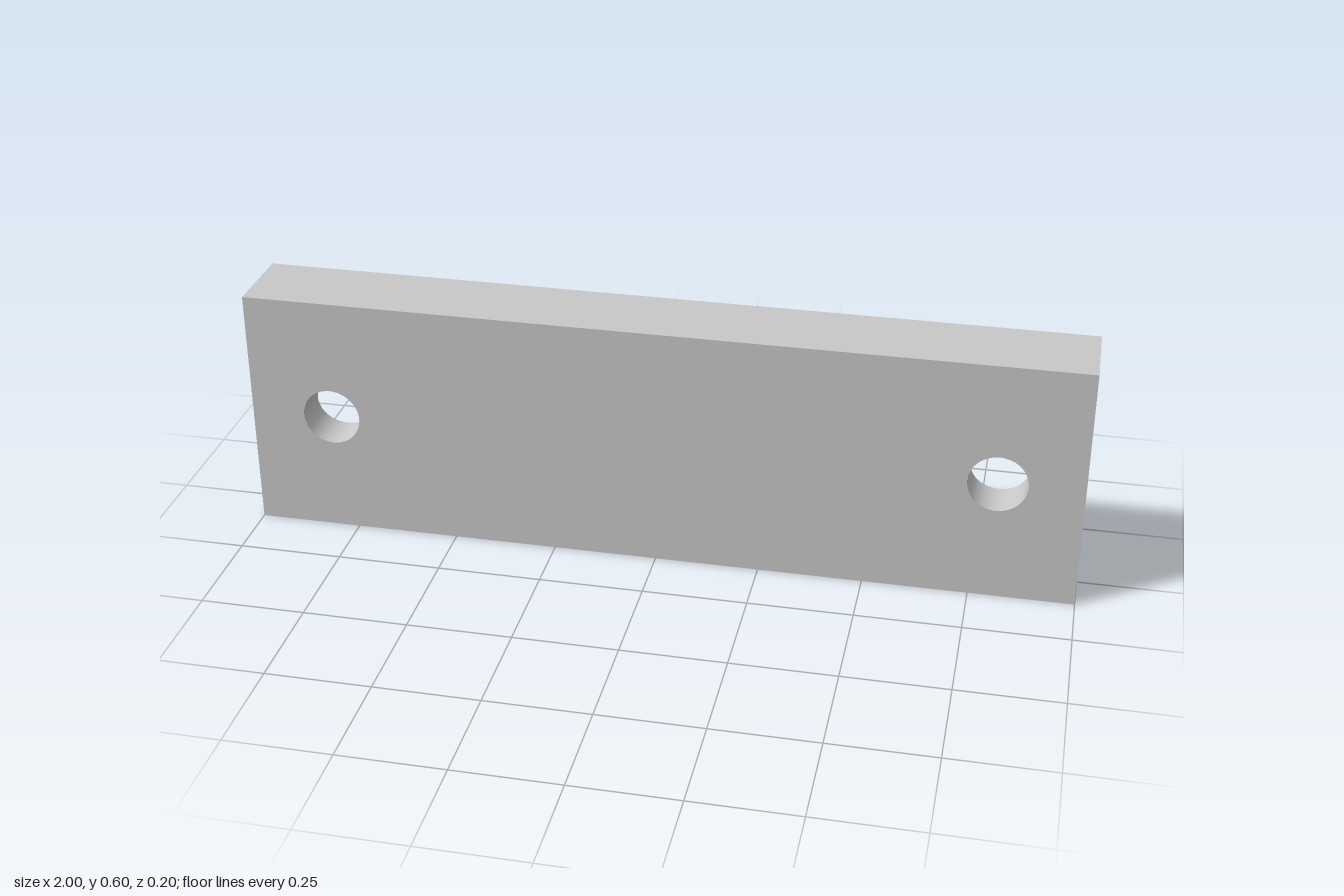
import * as THREE from 'three';

const HALF_W = 1, HEIGHT = 0.6, FRONT = 0.1, BACK = -0.1;
const MID = HEIGHT / 2;
const HOLE_X = 0.8, HOLE_R = 0.07, HOLE_SEG = 48;
const LIP = 0.064;                        // height of the flat strips beside the groove
const GROOVE_R = 0.32, GROOVE_Z = -0.316; // groove axis runs along x
const EDGE = Math.asin((MID - LIP) / GROOVE_R);
const HOLE_EDGE = Math.asin(HOLE_R / GROOVE_R);

const grooveZ = y => GROOVE_Z + Math.sqrt(GROOVE_R ** 2 - (y - MID) ** 2);
const lerp = THREE.MathUtils.lerp;

// Grid surface: point(u, v) gives a position, normal(x, y, z) its smooth normal
function patch(nu, nv, point, normal) {
  const g = new THREE.PlaneGeometry(1, 1, nu, nv);
  const p = g.attributes.position, n = g.attributes.normal;
  for (let i = 0; i < p.count; i++) {
    const q = point(p.getX(i) + 0.5, p.getY(i) + 0.5);
    p.setXYZ(i, ...q);
    n.setXYZ(i, ...new THREE.Vector3(...normal(...q)).normalize().toArray());
  }
  return g;
}

// Strip of groove: y(v) is the row height, left(v) and right(v) its ends in x
const groovePatch = (rows, y, left, right) => patch(1, rows,
  (u, v) => [lerp(right(v), left(v), u), y(v), grooveZ(y(v))],
  (x, py, z) => [0, MID - py, GROOVE_Z - z]);

export function createModel() {
  const group = new THREE.Group();
  const grey = new THREE.MeshStandardMaterial({ color: 0xc8c8c8 });
  grey.name = 'lightGrey';
  const add = (name, geometry) => {
    const mesh = new THREE.Mesh(geometry, grey);
    mesh.name = name;
    group.add(mesh);
    return mesh;
  };

  // Front face with two round holes
  const front = new THREE.Shape([
    new THREE.Vector2(-HALF_W, 0), new THREE.Vector2(HALF_W, 0),
    new THREE.Vector2(HALF_W, HEIGHT), new THREE.Vector2(-HALF_W, HEIGHT),
  ]);
  for (const s of [-1, 1]) {
    front.holes.push(new THREE.Path().absarc(s * HOLE_X, MID, HOLE_R, 0, Math.PI * 2));
  }
  add('frontFace', new THREE.ShapeGeometry(front, HOLE_SEG)).position.z = FRONT;

  // Top and bottom faces
  for (const s of [-1, 1]) {
    const face = new THREE.PlaneGeometry(2 * HALF_W, FRONT - BACK).rotateX(-s * Math.PI / 2);
    add(s > 0 ? 'topFace' : 'bottomFace', face).position.y = s > 0 ? HEIGHT : 0;
  }

  // Flat strips above and below the groove
  for (const s of [-1, 1]) {
    const lip = new THREE.PlaneGeometry(2 * HALF_W, LIP).rotateY(Math.PI);
    add(s > 0 ? 'upperLip' : 'lowerLip', lip).position.set(0, MID + s * (MID - LIP / 2), BACK);
  }

  // End faces, cut by the groove arc
  for (const s of [-1, 1]) {
    const outline = [[BACK, 0], [FRONT, 0], [FRONT, HEIGHT], [BACK, HEIGHT]];
    for (let i = 0; i <= 40; i++) {
      const y = MID + GROOVE_R * Math.sin(lerp(EDGE, -EDGE, i / 40));
      outline.push([grooveZ(y), y]);
    }
    const shape = new THREE.Shape(outline.map(([z, y]) => new THREE.Vector2(-s * z, y)));
    const end = new THREE.ShapeGeometry(shape).rotateY(s * Math.PI / 2);
    add(s > 0 ? 'leftEnd' : 'rightEnd', end).position.x = s * HALF_W;
  }

  // Groove above and below the holes
  const angleRow = (a, b) => v => MID + GROOVE_R * Math.sin(lerp(a, b, v));
  add('lowerGroove', groovePatch(16, angleRow(-EDGE, -HOLE_EDGE), () => -HALF_W, () => HALF_W));
  add('upperGroove', groovePatch(16, angleRow(HOLE_EDGE, EDGE), () => -HALF_W, () => HALF_W));

  // Groove band at hole height, split around the holes
  const angle = v => (v - 0.5) * Math.PI;
  const holeRow = v => MID + HOLE_R * Math.sin(angle(v));
  const rim = (s, side) => v => s * HOLE_X + side * HOLE_R * Math.cos(angle(v));
  const band = (left, right) => groovePatch(HOLE_SEG / 2, holeRow, left, right);
  add('grooveRightBand', band(() => -HALF_W, rim(-1, -1)));
  add('grooveMiddleBand', band(rim(-1, 1), rim(1, -1)));
  add('grooveLeftBand', band(rim(1, 1), () => HALF_W));

  // Hole walls, from the front face back to the groove
  for (const s of [-1, 1]) {
    add(s > 0 ? 'leftHoleWall' : 'rightHoleWall', patch(HOLE_SEG, 1, (u, v) => {
      const a = u * Math.PI * 2;
      const y = MID + HOLE_R * Math.sin(a);
      return [s * HOLE_X + HOLE_R * Math.cos(a), y, lerp(FRONT, grooveZ(y), v)];
    }, (x, y) => [s * HOLE_X - x, MID - y, 0]));
  }

  return group;
}
